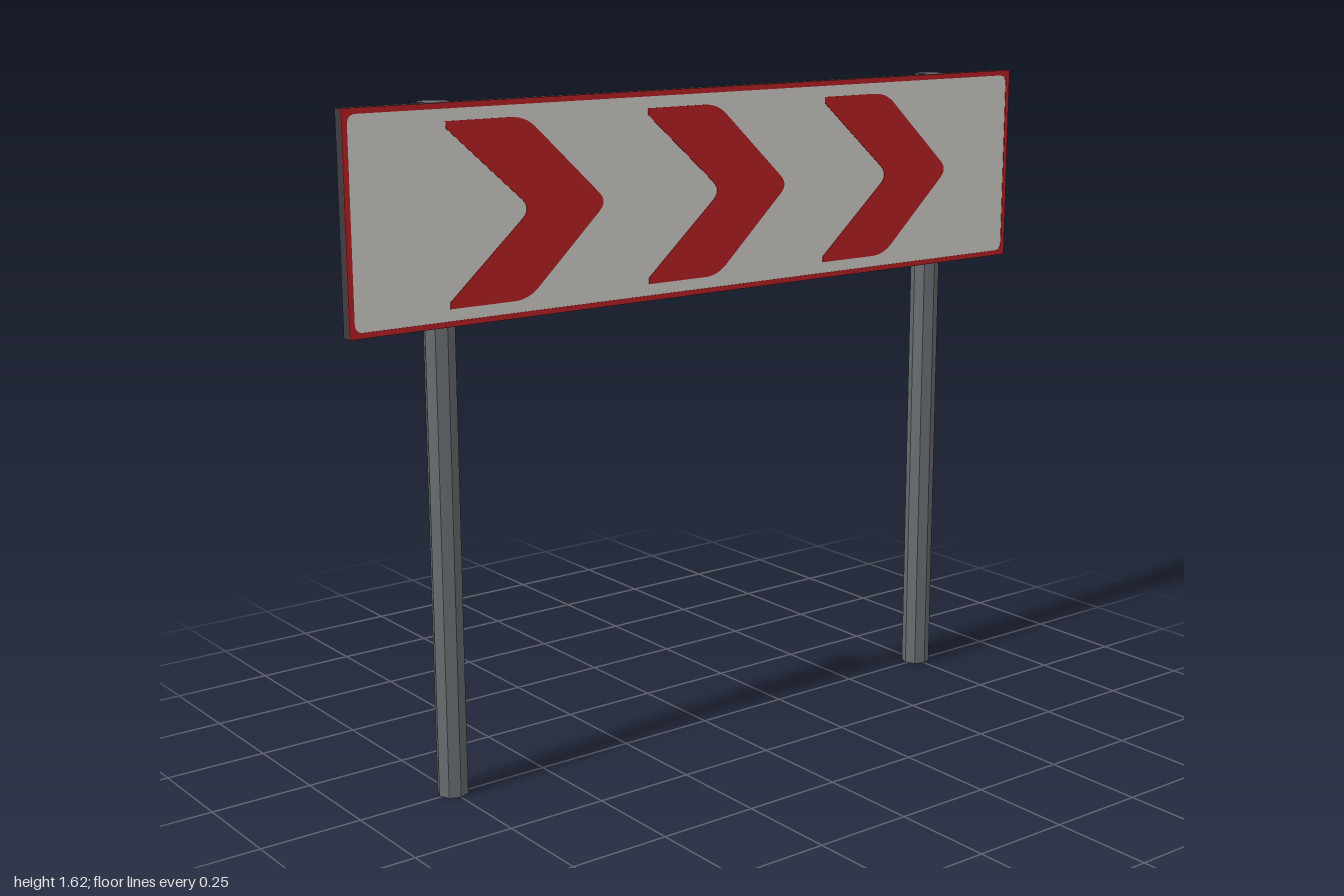
import * as THREE from 'three';

const material = (name, color, flatShading = false) => {
  const m = new THREE.MeshStandardMaterial({ color, flatShading });
  m.name = name;
  return m;
};

// Rectangle outline with rounded corners, centred on the origin
function roundedRect(path, w, h, r) {
  const x = w / 2, y = h / 2;
  path.moveTo(-x + r, -y);
  path.lineTo(x - r, -y);
  path.quadraticCurveTo(x, -y, x, -y + r);
  path.lineTo(x, y - r);
  path.quadraticCurveTo(x, y, x - r, y);
  path.lineTo(-x + r, y);
  path.quadraticCurveTo(-x, y, -x, y - r);
  path.lineTo(-x, -y + r);
  path.quadraticCurveTo(-x, -y, -x + r, -y);
  return path;
}

// Right-pointing chevron with softened corners
function chevronShape() {
  const s = new THREE.Shape();
  s.moveTo(-0.208, 0.208);
  s.lineTo(-0.04, 0.208);
  s.quadraticCurveTo(-0.005, 0.208, 0.022, 0.186);
  s.lineTo(0.197, 0.022);
  s.quadraticCurveTo(0.221, 0, 0.197, -0.022);
  s.lineTo(0.022, -0.186);
  s.quadraticCurveTo(-0.005, -0.208, -0.04, -0.208);
  s.lineTo(-0.208, -0.208);
  s.lineTo(-0.208, -0.193);
  s.lineTo(-0.012, -0.02);
  s.quadraticCurveTo(0.008, 0, -0.012, 0.02);
  s.lineTo(-0.208, 0.193);
  s.closePath();
  return s;
}

export function createModel() {
  const group = new THREE.Group();
  const steel = material('post grey', 0x686c6e, true);
  const dark = material('panel dark grey', 0x3e3e43);
  const white = material('sign white', 0xdcd9d3);
  const red = material('sign red', 0xc02226);

  const W = 2, H = 0.497, CY = 1.3765;
  const add = (name, geometry, mat, x, y, z) => {
    const mesh = new THREE.Mesh(geometry, mat);
    mesh.name = name;
    mesh.position.set(x, y, z);
    group.add(mesh);
  };
  const plate = (shape, depth) =>
    new THREE.ExtrudeGeometry(shape, { depth, bevelEnabled: false, curveSegments: 6 });

  // Octagonal posts
  for (const [name, x] of [['leftPost', 0.75], ['rightPost', -0.75]]) {
    add(name, new THREE.CylinderGeometry(0.037, 0.037, 1.625, 8), steel, x, 0.8125, -0.006);
  }

  // Sign panel
  add('panel', new THREE.BoxGeometry(W, H, 0.025), dark, 0, CY, 0.0265);

  // White face and red border
  add('signFace', plate(roundedRect(new THREE.Shape(), W - 0.024, H - 0.024, 0.02), 0.002), white, 0, CY, 0.039);
  const border = roundedRect(new THREE.Shape(), W, H, 0.004);
  border.holes.push(roundedRect(new THREE.Path(), W - 0.026, H - 0.026, 0.022));
  add('border', plate(border, 0.003), red, 0, CY, 0.039);

  // Three chevrons
  const chevron = plate(chevronShape(), 0.002);
  for (let i = -1; i <= 1; i++) {
    add('chevron', chevron, red, 0.008 + i * 0.547, CY, 0.0405);
  }
  return group;
}
